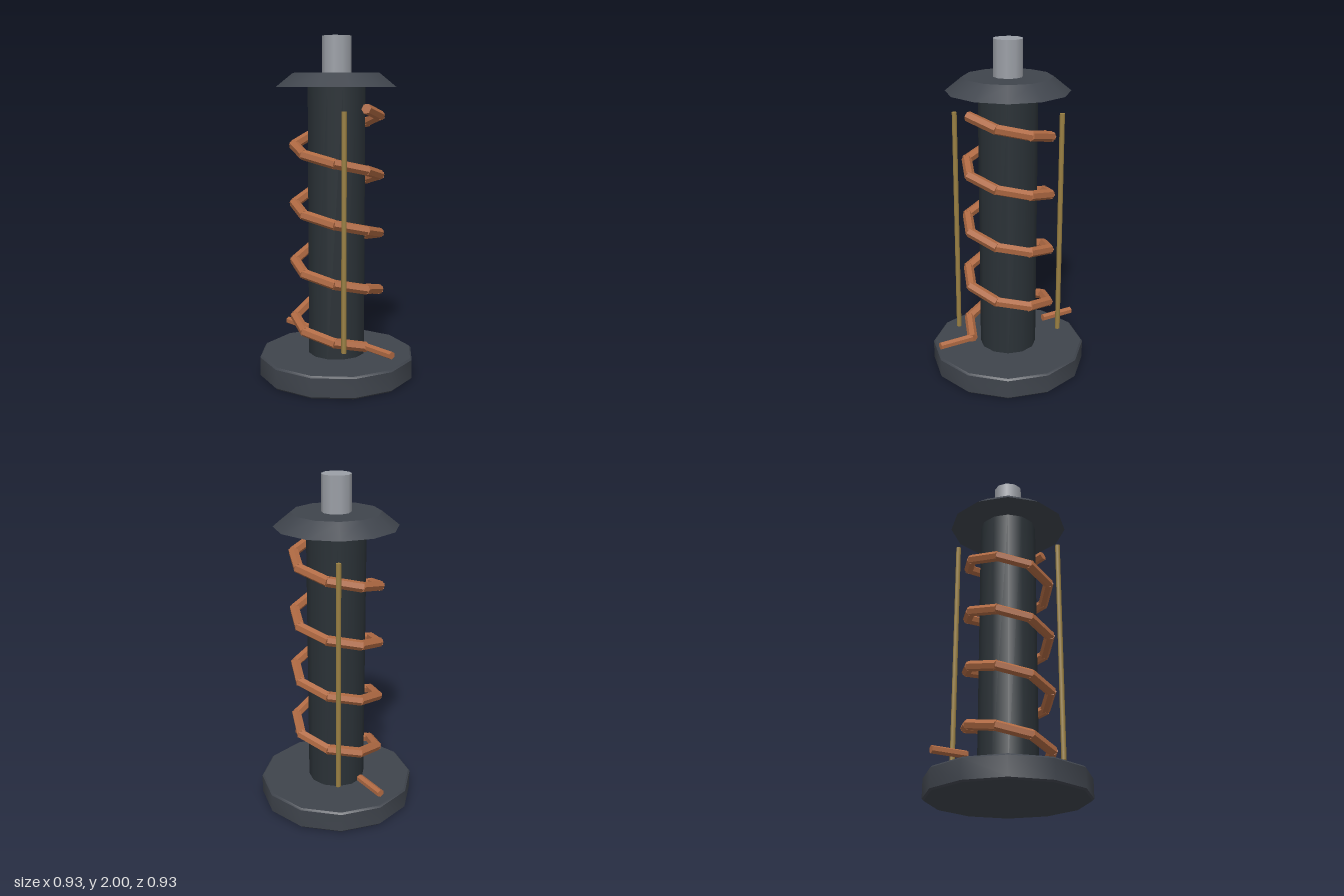
import * as THREE from 'three';
import { toCreasedNormals } from 'three/addons/utils/BufferGeometryUtils.js';

const paint = (color, flatShading = false) => new THREE.MeshStandardMaterial({ color, flatShading });

export function createModel() {
  const model = new THREE.Group();
  const slate = paint(0x3f444c), dark = paint(0x2a3136), steel = paint(0x9b9fa6);
  const copper = paint(0xb06a43, true), brass = paint(0x9a8043);

  const add = (name, geometry, material, parent = model) => {
    const mesh = new THREE.Mesh(geometry, material);
    mesh.name = name;
    parent.add(mesh);
    return mesh;
  };
  // Upright cylinder or cone between two heights
  const column = (name, rTop, rBottom, y0, y1, sides, material) => {
    const mesh = add(name, new THREE.CylinderGeometry(rTop, rBottom, y1 - y0, sides), material);
    mesh.position.y = (y0 + y1) / 2;
    return mesh;
  };

  // Twelve-sided foot with a narrow chamfer
  const profile = [[0, 0], [0.455, 0], [0.465, 0.01], [0.465, 0.12], [0.455, 0.13], [0, 0.13]]
    .map(([x, y]) => new THREE.Vector2(x, y));
  add('base', toCreasedNormals(new THREE.LatheGeometry(profile, 12), 0.6), slate);

  // Core, sloping cap and shaft
  column('core', 0.17, 0.17, 0.12, 1.72, 12, dark);
  column('cap', 0.255, 0.355, 1.71, 1.79, 12, slate);
  column('shaft', 0.085, 0.085, 1.78, 2, 10, steel);

  // Coil of straight hexagonal bars, eight to a turn
  const coil = new THREE.Group();
  coil.name = 'coil';
  model.add(coil);
  const turns = 4, perTurn = 8, count = turns * perTurn;
  const coilPoint = (i) => {
    const a = (i / perTurn) * Math.PI * 2;
    return new THREE.Vector3(0.25 * Math.cos(a), 0.215 + (1.375 * i) / count, 0.25 * Math.sin(a));
  };
  const up = new THREE.Vector3(0, 1, 0);
  const span = coilPoint(0).distanceTo(coilPoint(1));
  const bar = new THREE.CylinderGeometry(0.03, 0.03, span * 1.07, 6);
  for (let i = 0; i < count; i++) {
    const a = coilPoint(i), b = coilPoint(i + 1);
    const mesh = add('coilSegment', bar, copper, coil);
    mesh.position.copy(a).lerp(b, 0.5);
    mesh.quaternion.setFromUnitVectors(up, b.sub(a).normalize());
  }

  // Lead and upright rod on each side
  for (const s of [1, -1]) {
    const side = s > 0 ? 'left' : 'right';
    const lead = add(side + 'Lead', new THREE.CylinderGeometry(0.023, 0.023, 0.21, 6).rotateY(Math.PI / 2), copper);
    lead.rotation.z = Math.PI / 2;
    lead.position.set(s * 0.36, 0.217, 0);
    const rod = column(side + 'Rod', 0.015, 0.015, 0.217, 1.58, 8, brass);
    rod.position.x = s > 0 ? 0.253 : -0.262;
    rod.position.z = s > 0 ? 0.173 : -0.16;
  }
  return model;
}
